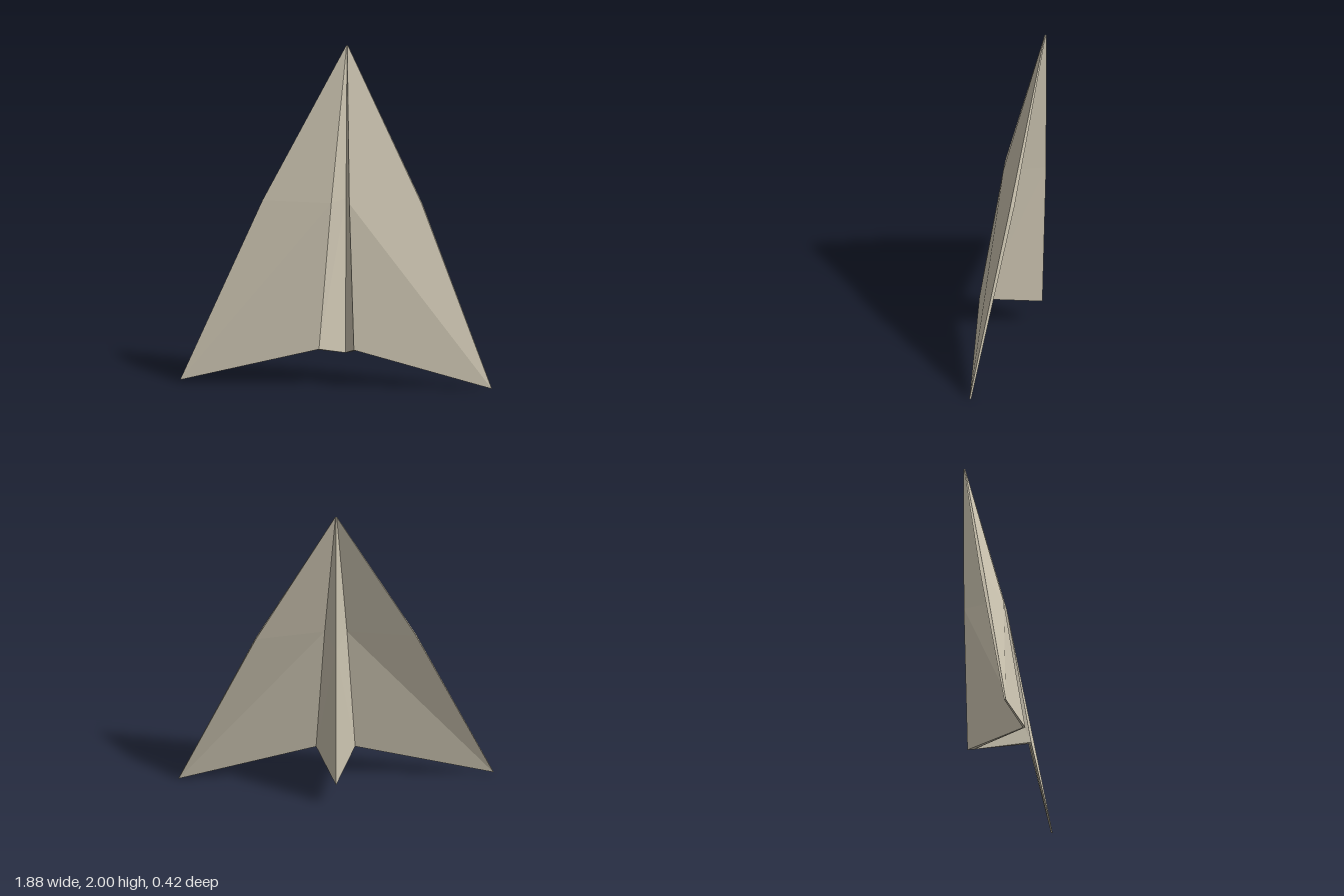
import * as THREE from 'three';

// Folded sheet panel: quads [aFront, bFront, bBack, aBack] lofted from nose to tail
function panel(sections, side) {
  const pos = [];
  const tri = (a, b, c) => {
    const order = side > 0 ? [a, b, c] : [a, c, b];
    for (const p of order) pos.push(p[0] * side, p[1], p[2]);
  };
  for (let i = 0; i < sections.length - 1; i++) {
    const s0 = sections[i], s1 = sections[i + 1];
    for (let k = 0; k < 4; k++) {
      const n = (k + 1) % 4;
      if (k === 2) { // same fold diagonal on the back as on the front
        tri(s0[k], s1[k], s0[n]);
        tri(s1[k], s1[n], s0[n]);
      } else {
        tri(s0[k], s1[k], s1[n]);
        tri(s0[k], s1[n], s0[n]);
      }
    }
  }
  // End caps
  const first = sections[0], last = sections[sections.length - 1];
  tri(first[0], first[1], first[2]);
  tri(first[0], first[2], first[3]);
  tri(last[0], last[2], last[1]);
  tri(last[0], last[3], last[2]);
  const geo = new THREE.BufferGeometry();
  geo.setAttribute('position', new THREE.Float32BufferAttribute(pos, 3));
  geo.computeVertexNormals();
  return geo;
}

export function createModel() {
  const plane = new THREE.Group();
  plane.name = 'paperPlane';
  const paper = new THREE.MeshStandardMaterial({ color: 0xd0c8b4, flatShading: true });

  // Front and back points at the nose, the middle and the tail
  const keel = [
    [[0, 2, -0.2], [0, 2, -0.21]],
    [[0, 1.08, -0.165], [0, 1.08, -0.207]],
    [[0, 0.145, -0.145], [0, 0.145, -0.185]],
  ];
  const root = [
    [[0.002, 2, -0.198], [0.004, 2, -0.205]],
    [[0.055, 1.08, 0.045], [0.067, 1.08, 0.032]],
    [[0.106, 0.215, 0.185], [0.117, 0.21, 0.172]],
  ];
  // The two wings droop by slightly different amounts
  const wings = [
    { name: 'left', side: 1, midZ: -0.035, tip: [0.94, 0, 0.17] },
    { name: 'right', side: -1, midZ: 0.0, tip: [0.945, 0.012, 0.212] },
  ];

  for (const { name, side, midZ, tip } of wings) {
    const edge = [
      [[0.005, 2, -0.199], [0.005, 2, -0.205]],
      [[0.48, 1.08, midZ], [0.48, 1.08, midZ - 0.024]],
      [tip, [tip[0], tip[1], tip[2] - 0.01]],
    ];
    const join = (a, b) => a.map((p, i) => [p[0], b[i][0], b[i][1], p[1]]);
    const wall = new THREE.Mesh(panel(join(keel, root), side), paper);
    wall.name = name + 'KeelWall';
    const wing = new THREE.Mesh(panel(join(root, edge), side), paper);
    wing.name = name + 'Wing';
    plane.add(wall, wing);
  }
  return plane;
}
